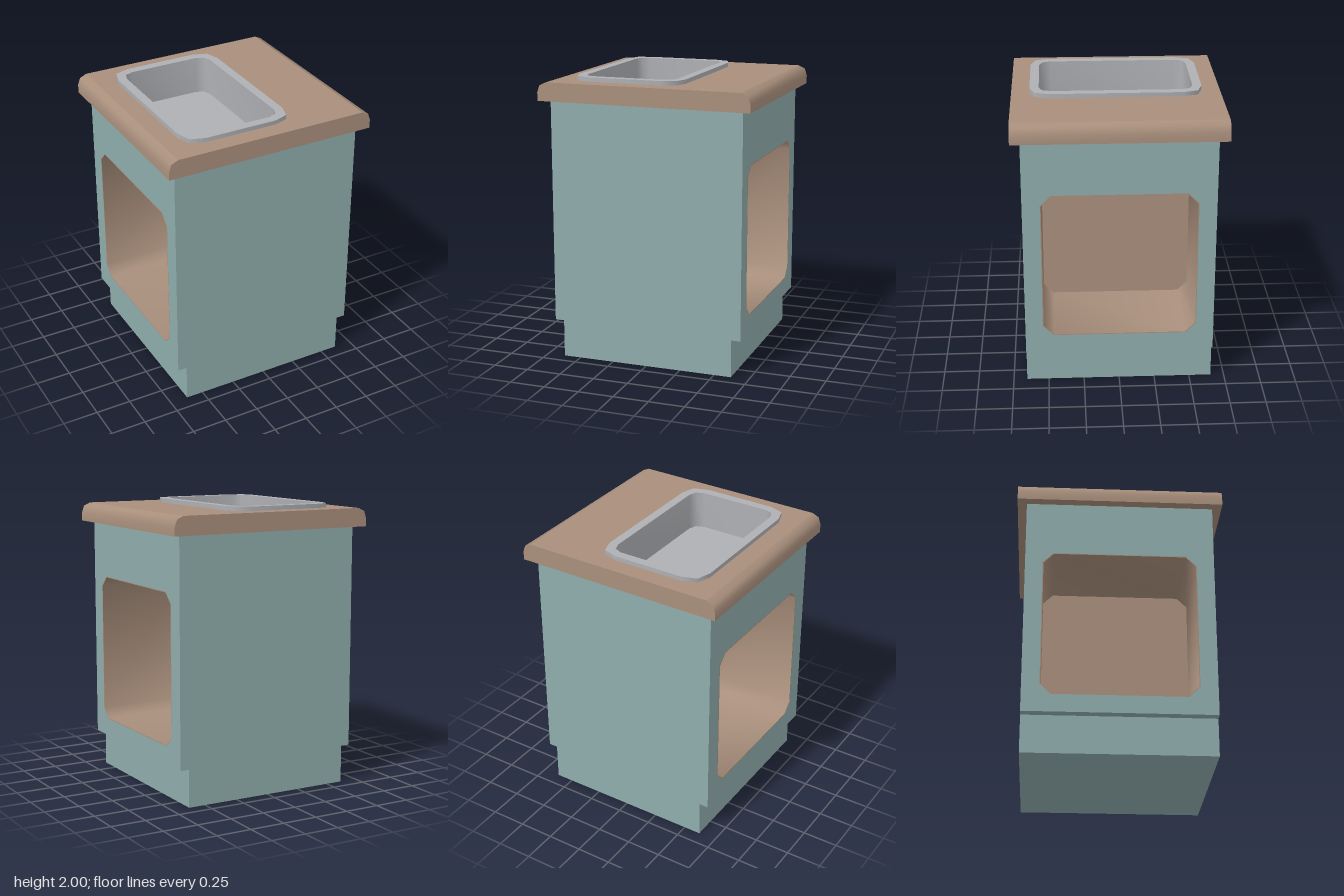
import * as THREE from 'three';
import { toCreasedNormals } from 'three/addons/utils/BufferGeometryUtils.js';

const teal = new THREE.MeshStandardMaterial({ color: 0x8fadac });
teal.name = 'teal paint';
const wood = new THREE.MeshStandardMaterial({ color: 0xa98f7c });
wood.name = 'brown wood';
const steel = new THREE.MeshStandardMaterial({ color: 0xafb0b4 });
steel.name = 'grey steel';

const pts = (list) => list.map(([x, y]) => new THREE.Vector2(x, y));

// Extrude an outline, optionally with a hole, smoothing only its gentle bends
function extrude(outline, depth, hole) {
  const shape = new THREE.Shape(pts(outline));
  if (hole) shape.holes.push(new THREE.Path(pts(hole)));
  const g = new THREE.ExtrudeGeometry(shape, { depth, bevelEnabled: false });
  return toCreasedNormals(g, 0.97);
}

// Closed outline mirrored four ways from the corner points of one quadrant
function mirrored(corner, cx = 0, cy = 0) {
  const back = [...corner].reverse();
  return [
    ...corner.map(([x, y]) => [cx + x, cy + y]),
    ...back.map(([x, y]) => [cx - x, cy + y]),
    ...corner.map(([x, y]) => [cx - x, cy - y]),
    ...back.map(([x, y]) => [cx + x, cy - y]),
  ];
}

export function createModel() {
  const model = new THREE.Group();
  model.name = 'sinkCabinet';
  const add = (name, geometry, material) => {
    const mesh = new THREE.Mesh(geometry, material);
    mesh.name = name;
    model.add(mesh);
    return mesh;
  };

  const W = 0.6875, D = 0.655, KICK = 0.6225;
  const Y0 = 0.265, Y1 = 1.84, T = 0.04;

  // Front and back panels, narrowed at the toe kick
  const panel = [[-KICK, 0], [KICK, 0], [KICK, Y0], [W, Y0], [W, Y1], [-W, Y1], [-W, Y0], [-KICK, Y0]];
  add('frontPanel', extrude(panel, T).translate(0, 0, D - T), teal);
  add('backPanel', extrude(panel, T).translate(0, 0, -D), teal);

  // Plinth and the base board above it
  const inner = 2 * (D - T);
  add('plinth', new THREE.BoxGeometry(2 * KICK, Y0, inner).translate(0, Y0 / 2, 0), teal);
  add('baseBoard', new THREE.BoxGeometry(2 * W - 0.02, 0.03, inner).translate(0, Y0 + 0.015, 0), teal);

  // Open niche on each side with a divider between them
  const octagon = (e) => mirrored([[0.5275 + e, 0.4535 + e * 0.41], [0.4575 + e * 0.41, 0.5235 + e]], 0, 0.92);
  const sidePanel = [[-D + T, Y0], [D - T, Y0], [D - T, Y1], [-D + T, Y1]];
  for (const [side, s] of [['left', 1], ['right', -1]]) {
    const plate = extrude(sidePanel, 0.03, octagon(0.006)).rotateY(Math.PI / 2);
    add(side + 'SidePanel', plate.translate(s > 0 ? W - 0.03 : -W, 0, 0), teal);
    const liner = extrude(octagon(0.006), W - 0.05, octagon(0)).rotateY(Math.PI / 2);
    add(side + 'NicheLining', liner.translate(s > 0 ? 0.05 : -W, 0, 0), wood);
  }
  add('nicheDivider', extrude(octagon(0.003), 0.13).rotateY(Math.PI / 2).translate(-0.065, 0, 0), wood);

  // Sink outlines, in plan
  const CX = -0.167;
  const rim = mirrored([[0.392, 0.456], [0.36, 0.559], [0.257, 0.593]], CX);
  const cutout = mirrored([[0.36, 0.452], [0.335, 0.535], [0.255, 0.562]], CX);
  const bowl = mirrored([[0.329, 0.449], [0.308, 0.508], [0.252, 0.53]], CX);

  // Countertop with a cutout, and softened edges left and right
  const CZ = 0.72, EX = 0.69;
  const slab = [[EX, -CZ], [EX, CZ], [-EX, CZ], [-EX, -CZ]];
  add('countertop', extrude(slab, 0.13, cutout).rotateX(-Math.PI / 2).translate(0, Y1, 0), wood);
  const edge = [[EX, Y1], [0.755, Y1], [0.755, 1.9], [0.738, 1.948], [EX, 1.97]];
  for (const [side, s] of [['left', 1], ['right', -1]]) {
    const g = extrude(edge.map(([x, y]) => [s * x, y]), 2 * CZ).translate(0, 0, -CZ);
    add(side + 'CounterEdge', g, wood);
  }

  // Sink rim with straight bowl walls, and its floor
  const FLOOR = 1.73;
  add('sinkBowl', extrude(rim, 2 - FLOOR, bowl).rotateX(-Math.PI / 2).translate(0, FLOOR, 0), steel);
  add('sinkFloor', extrude(cutout, 0.02).rotateX(-Math.PI / 2).translate(0, FLOOR - 0.02, 0), steel);

  return model;
}
